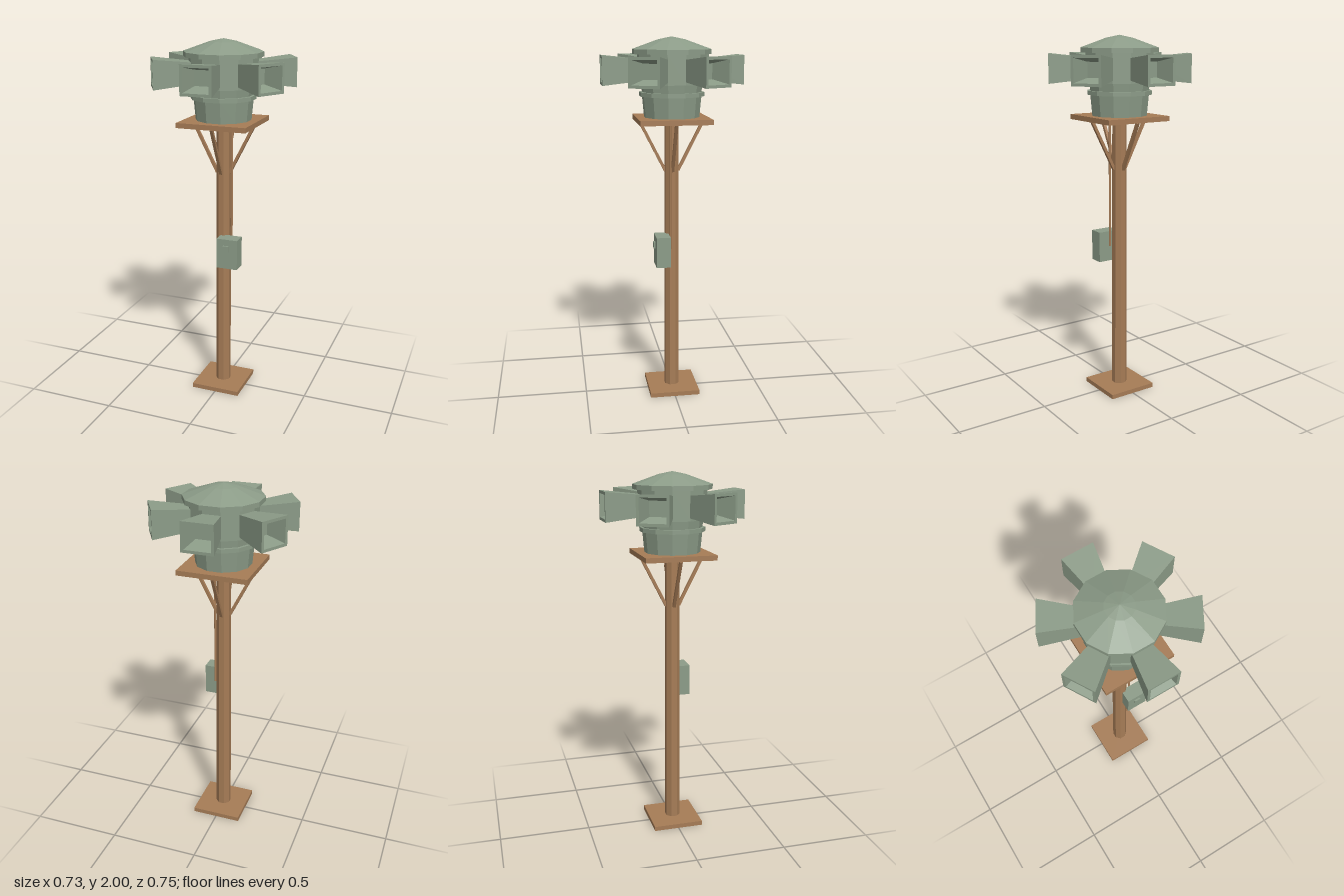
import * as THREE from 'three';

const green = new THREE.MeshStandardMaterial({ color: 0x8c9c88, flatShading: true });
const brown = new THREE.MeshStandardMaterial({ color: 0xa67c56, flatShading: true });

function add(parent, name, geometry, material, x = 0, y = 0, z = 0) {
  const mesh = new THREE.Mesh(geometry, material);
  mesh.name = name;
  mesh.position.set(x, y, z);
  parent.add(mesh);
  return mesh;
}

// Lofts rectangular sections [z, halfWidth, halfHeight] and closes both ends
function loftRects(sections) {
  const positions = [];
  const index = [];
  for (const [z, w, h] of sections) {
    positions.push(-w, -h, z, w, -h, z, w, h, z, -w, h, z);
  }
  for (let s = 0; s < sections.length - 1; s++) {
    for (let i = 0; i < 4; i++) {
      const a = s * 4 + i;
      const b = s * 4 + (i + 1) % 4;
      index.push(a, b, b + 4, a, b + 4, a + 4);
    }
  }
  const e = (sections.length - 1) * 4;
  index.push(0, 2, 1, 0, 3, 2, e, e + 1, e + 2, e, e + 2, e + 3);
  const indexed = new THREE.BufferGeometry();
  indexed.setAttribute('position', new THREE.Float32BufferAttribute(positions, 3));
  indexed.setIndex(index);
  const geometry = indexed.toNonIndexed();
  geometry.computeVertexNormals();
  return geometry;
}

// Square bar between two points
function bar(parent, name, from, to, size) {
  const dir = to.clone().sub(from);
  const mesh = add(parent, name, new THREE.BoxGeometry(size, dir.length(), size), brown);
  mesh.position.copy(from).add(to).multiplyScalar(0.5);
  mesh.quaternion.setFromUnitVectors(new THREE.Vector3(0, 1, 0), dir.normalize());
  return mesh;
}

export function createModel() {
  const model = new THREE.Group();
  model.name = 'sirenTower';

  // Base plate, tapered octagonal pole and platform
  add(model, 'basePlate', new THREE.BoxGeometry(0.28, 0.025, 0.28), brown, 0, 0.0125, 0);
  const across = Math.cos(Math.PI / 8);
  const pole = new THREE.CylinderGeometry(0.036 / across, 0.04 / across, 1.515, 8);
  pole.rotateY(Math.PI / 8);
  add(model, 'pole', pole, brown, 0, 0.7775, 0);
  add(model, 'poleTop', new THREE.BoxGeometry(0.02, 0.03, 0.02), brown, 0, 1.545, 0);
  add(model, 'platform', new THREE.BoxGeometry(0.385, 0.027, 0.385), brown, 0, 1.565, 0);

  // Diagonal braces under the platform
  for (let i = 0; i < 4; i++) {
    const holder = new THREE.Group();
    holder.name = 'brace';
    holder.rotation.y = i * Math.PI / 2;
    bar(holder, 'braceBar', new THREE.Vector3(0.035, 1.285, 0), new THREE.Vector3(0.172, 1.552, 0), 0.016);
    model.add(holder);
  }

  // Control box with latch and conduit
  add(model, 'controlBox', new THREE.BoxGeometry(0.12, 0.17, 0.078), green, 0.057, 0.848, 0.061);
  add(model, 'latch', new THREE.BoxGeometry(0.034, 0.034, 0.012), green, 0.054, 0.88, 0.104);
  add(model, 'conduit', new THREE.CylinderGeometry(0.006, 0.006, 0.71, 8), brown, 0.054, 1.205, 0.013);

  // Twelve-sided siren body and roof, profile given as [flat radius, height]
  const profile = [
    [0, 1.578], [0.145, 1.578], [0.155, 1.69], [0.17, 1.69], [0.17, 1.712], [0.155, 1.712],
    [0.16, 1.755], [0.178, 1.755], [0.178, 1.91], [0.205, 1.91], [0.205, 1.935],
    [0.07, 1.985], [0, 2],
  ].map(([r, y]) => new THREE.Vector2(r / Math.cos(Math.PI / 12), y));
  const body = new THREE.LatheGeometry(profile, 12);
  body.rotateY(Math.PI / 12);
  add(model, 'sirenBody', body, green);

  // Six flared square horns with hollow mouths
  const horn = loftRects([
    [0.14, 0.043, 0.053], [0.375, 0.085, 0.077], [0.375, 0.07, 0.062], [0.27, 0.048, 0.04],
  ]);
  for (let i = 0; i < 6; i++) {
    add(model, 'horn', horn, green, 0, 1.828, 0).rotation.y = i * Math.PI / 3;
  }

  return model;
}
